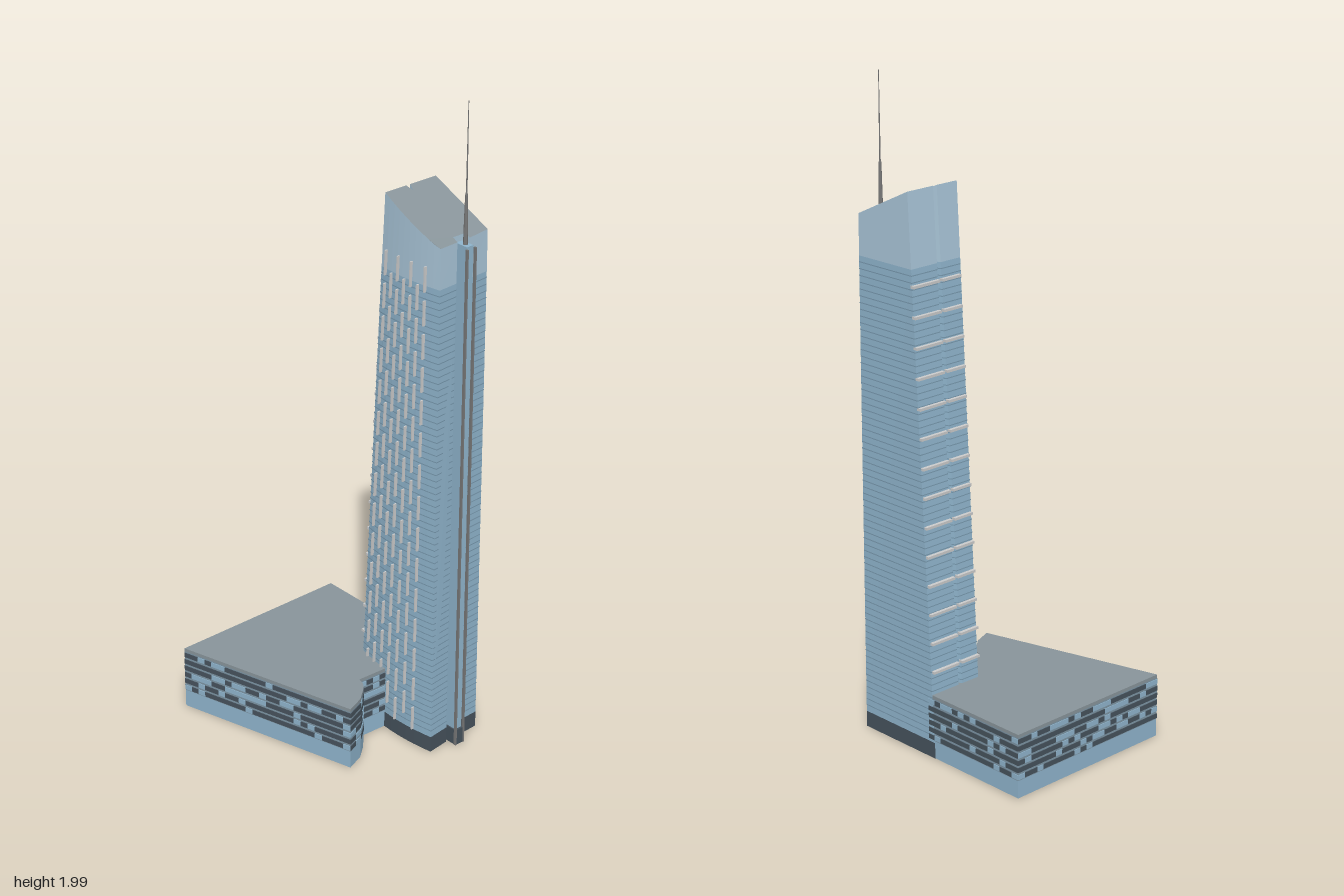
import * as THREE from 'three';
import { mergeGeometries } from 'three/addons/utils/BufferGeometryUtils.js';

const mat = (color) => new THREE.MeshStandardMaterial({ color, flatShading: true, side: THREE.DoubleSide });
const MAT = {
  glass: mat(0x8fb4cc), crown: mat(0xa9c5d8), seam: mat(0x7798ae), dark: mat(0x46525c),
  roof: mat(0x88949a), grey: mat(0xcccccc), steel: mat(0x777777), wall: mat(0x7d95a5),
};

const H = 1.69; // height of the tower's high edge

function mesh(name, geometry, material) {
  const m = new THREE.Mesh(geometry, material);
  m.name = name;
  return m;
}

// Walls between rings of equal length; optional flat caps
function loft(rings, { top = false, bottom = false, walls = true } = {}) {
  const pos = [];
  const put = (...pts) => pts.forEach((p) => pos.push(p.x, p.y, p.z));
  if (walls) for (let r = 0; r < rings.length - 1; r++) {
    const a = rings[r], b = rings[r + 1];
    a.forEach((p, i) => {
      const j = (i + 1) % a.length;
      put(p, b[i], a[j], a[j], b[i], b[j]);
    });
  }
  const cap = (ring, up) => {
    const flat = ring.map((p) => new THREE.Vector2(p.x, p.z));
    for (const [a, b, c] of THREE.ShapeUtils.triangulateShape(flat, [])) {
      if (up) put(ring[a], ring[c], ring[b]);
      else put(ring[a], ring[b], ring[c]);
    }
  };
  if (top) cap(rings[rings.length - 1], true);
  if (bottom) cap(rings[0], false);
  const g = new THREE.BufferGeometry();
  g.setAttribute('position', new THREE.Float32BufferAttribute(pos, 3));
  g.computeVertexNormals();
  return g;
}

function box(w, h, d, x, y, z, rotY = 0, rotZ = 0) {
  return new THREE.BoxGeometry(w, h, d).rotateZ(rotZ).rotateY(rotY).translate(x, y, z);
}

// Tower plan, in its own axes: x along the long side, z towards the bowed front
const leftX = (y) => 0.102 * y / H;
const rightX = (y) => 0.317 - 0.004 * y / H;
const frontZ = (x, y) => 0.206 - 0.7 * (x - 0.18) ** 2 - 0.006 * y / H;

function plan(y, grow = 1) {
  const t = y / H, l = leftX(y), r = rightX(y);
  const pts = [[l, 0.01 * t], [0.304 - 0.003 * t, 0.003 * t], [0.307, 0.075], [0.29, 0.077],
    [0.29, 0.121], [0.309, 0.123]];
  for (let i = 0; i <= 10; i++) {
    const x = THREE.MathUtils.lerp(r, l, i / 10);
    pts.push([x, frontZ(x, y)]);
  }
  pts.push([l, 0.12], [l + 0.022, 0.112], [l, 0.106]);
  return pts.map(([x, z]) => new THREE.Vector3(0.17 + (x - 0.17) * grow, y, 0.1 + (z - 0.1) * grow));
}

function buildTower() {
  const tower = new THREE.Group();
  tower.name = 'tower';

  tower.add(mesh('towerBase', loft([plan(0), plan(0.05)], { bottom: true }), MAT.dark));
  tower.add(mesh('towerGlass', loft([plan(0.05), plan(1.47)]), MAT.glass));

  // Floor lines
  const seams = [];
  for (let y = 0.07; y < 1.465; y += 0.02) seams.push(loft([plan(y, 1.003), plan(y + 0.003, 1.003)]));
  tower.add(mesh('floorLines', mergeGeometries(seams), MAT.seam));

  // Crown with a roof that slopes down towards the mast
  const rim = plan(H);
  rim.forEach((p) => { p.y = H - 0.1 * THREE.MathUtils.clamp((p.x - 0.102) / 0.205, 0, 1); });
  tower.add(mesh('crown', loft([plan(1.47), rim]), MAT.crown));
  tower.add(mesh('towerRoof', loft([rim], { walls: false, top: true }), MAT.roof));

  // Ledges climbing the two leaning end bays
  const ledges = [];
  for (let i = 0; i < 14; i++) {
    const y = 0.27 + i * 0.0885, x = leftX(y) - 0.003;
    ledges.push(box(0.014, 0.008, 0.1, x, y, 0.056));
    ledges.push(box(0.014, 0.008, 0.07, x, y, 0.152));
  }
  tower.add(mesh('ledges', mergeGeometries(ledges), MAT.grey));

  // Broken vertical fins fanning over the bowed front
  const fins = [];
  for (let f = 0; f < 7; f++) {
    const s = 0.1 + f * 0.115;
    for (let y = 0.09 + (f % 2) * 0.04; y < 1.5; y += 0.1) {
      const x = THREE.MathUtils.lerp(leftX(y), rightX(y), s);
      fins.push(box(0.004, 0.075, 0.01, x, y, frontZ(x, y) + 0.003, 0, -0.06 * (1 - s)));
    }
  }
  tower.add(mesh('frontFins', mergeGeometries(fins), MAT.grey));

  // Service shaft in the recess of the narrow end
  tower.add(mesh('shaft', box(0.045, 1.53, 0.024, 0.311, 0.815, 0.099), MAT.glass));
  tower.add(mesh('shaftBase', box(0.05, 0.05, 0.032, 0.315, 0.025, 0.099), MAT.dark));
  const rails = [0.084, 0.114].map((z) => box(0.008, 1.575, 0.005, 0.338, 0.7875, z));
  tower.add(mesh('shaftRails', mergeGeometries(rails), MAT.steel));

  // Mast
  const profile = [[0, 1.54], [0.007, 1.54], [0.006, 1.62], [0.004, 1.72], [0.0022, 1.73], [0.001, 1.985], [0, 1.985]];
  const mast = mesh('mast', new THREE.LatheGeometry(profile.map(([r, y]) => new THREE.Vector2(r, y)), 8), MAT.steel);
  mast.position.set(0.315, 0, 0.099);
  tower.add(mast);

  tower.position.set(0.19, 0, -0.1326);
  tower.rotation.y = -0.65;
  return tower;
}

function buildPodium() {
  const podium = new THREE.Group();
  podium.name = 'podium';
  const corners = [[-0.087, -0.343], [0.21, -0.115], [0.22, 0], [0.17, 0.105], [0.107, 0.18],
    [0.122, 0.2], [0.128, 0.225], [0.13, 0.28], [0.113, 0.34], [-0.435, 0.118]];
  const ring = (y) => corners.map(([x, z]) => new THREE.Vector3(x, y, z));

  podium.add(mesh('groundFloorGlass', loft([ring(0), ring(0.055)]), MAT.glass));
  podium.add(mesh('podiumWalls', loft([ring(0.055), ring(0.19)]), MAT.wall));
  podium.add(mesh('podiumRoof', loft([ring(0.19), ring(0.2)], { top: true }), MAT.roof));

  // Rows of dark strips broken by scattered light panes
  let seed = 7;
  const rand = () => (seed = (seed * 16807) % 2147483647) / 2147483647;
  const strips = [], panes = [];
  corners.forEach(([x0, z0], i) => {
    if (i === 1 || i === 2) return; // hidden inside the tower
    const [x1, z1] = corners[(i + 1) % corners.length];
    const length = Math.hypot(x1 - x0, z1 - z0), n = Math.max(1, Math.round(length / 0.025));
    const turn = -Math.atan2(z1 - z0, x1 - x0);
    for (let row = 0; row < 6; row++) {
      const y = 0.066 + row * 0.0225;
      for (let c = 0; c < n; c++) {
        const k = (c + 0.5) / n;
        const list = rand() < 0.27 ? panes : strips;
        list.push(box(length / n, 0.015, 0.004, x0 + (x1 - x0) * k, y, z0 + (z1 - z0) * k, turn));
      }
    }
  });
  podium.add(mesh('darkStrips', mergeGeometries(strips), MAT.dark));
  podium.add(mesh('lightPanes', mergeGeometries(panes), MAT.glass));
  return podium;
}

export function createModel() {
  const model = new THREE.Group();
  model.name = 'skyscraper';
  model.add(buildTower(), buildPodium());
  return model;
}
